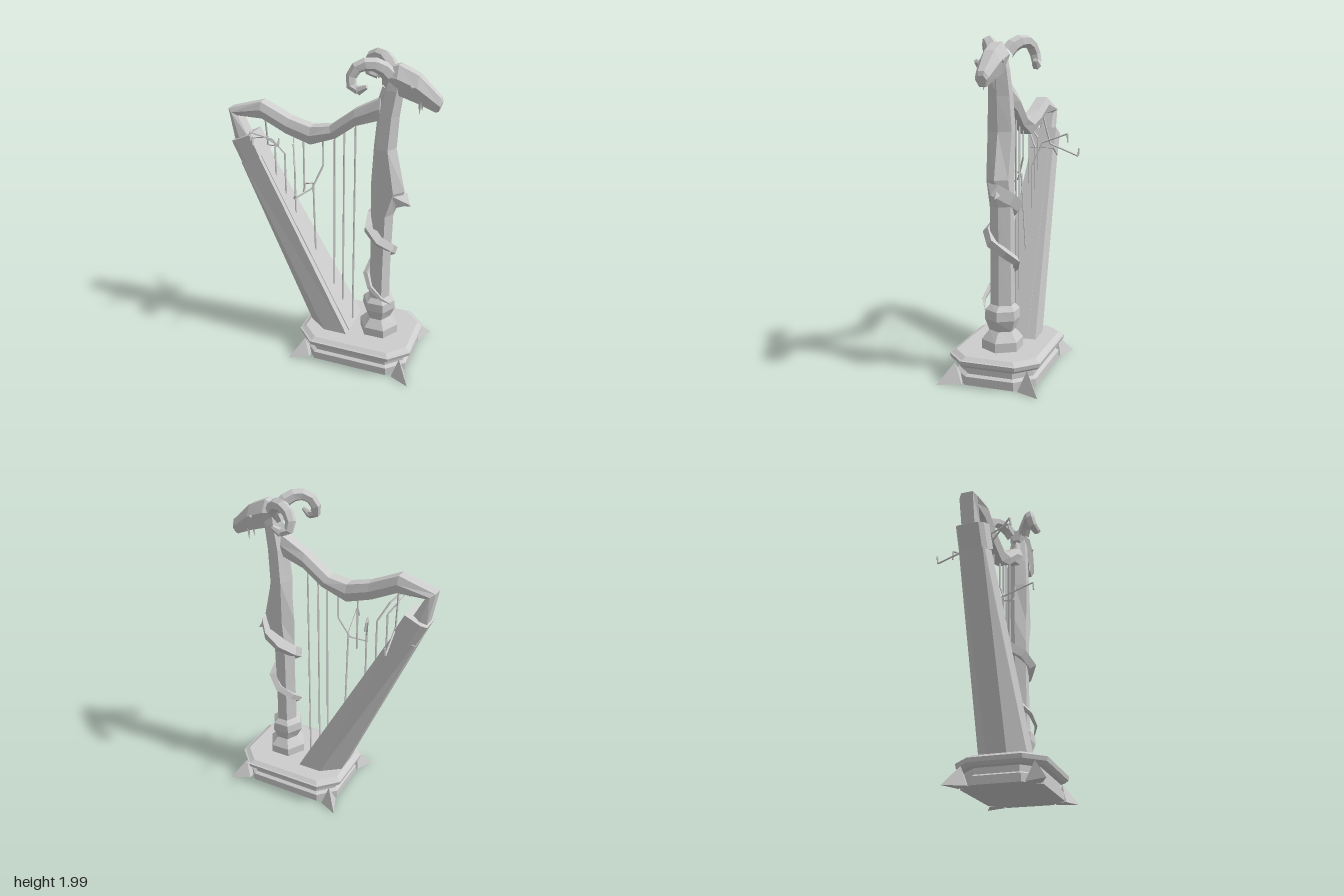
import * as THREE from 'three';
import { ConvexGeometry } from 'three/addons/geometries/ConvexGeometry.js';

const V = (x, y, z) => new THREE.Vector3(x, y, z);

export function createModel() {
  const model = new THREE.Group();
  const stone = new THREE.MeshStandardMaterial({ color: 0xcccccc, flatShading: true });
  stone.name = 'pale stone';

  function add(name, geometry, parent = model) {
    const mesh = new THREE.Mesh(geometry, stone);
    mesh.name = name;
    parent.add(mesh);
    return mesh;
  }

  function group(name) {
    const g = new THREE.Group();
    g.name = name;
    model.add(g);
    return g;
  }

  // Closed solid through convex rings of equal point count, wound outward
  function loft(rings) {
    const n = rings[0].length, pts = rings.flat(), tris = [];
    for (let r = 0; r < rings.length - 1; r++) {
      for (let i = 0; i < n; i++) {
        const a = r * n + i, b = r * n + (i + 1) % n;
        tris.push([a, b, b + n], [a, b + n, a + n]);
      }
    }
    const last = (rings.length - 1) * n;
    for (let i = 1; i < n - 1; i++) tris.push([0, i + 1, i], [last, last + i, last + i + 1]);
    let volume = 0;
    for (const [a, b, c] of tris) volume += pts[a].dot(pts[b].clone().cross(pts[c]));
    const geo = new THREE.BufferGeometry().setFromPoints(pts);
    geo.setIndex(tris.flatMap(([a, b, c]) => (volume < 0 ? [a, c, b] : [a, b, c])));
    const flat = geo.toNonIndexed();
    flat.computeVertexNormals();
    return flat;
  }

  // Ring symmetric in z, spanning a top and a bottom point in the xy plane
  function section([xt, yt, xb, yb, w], outline) {
    const side = s => outline.map(([f, k]) => V(xt + (xb - xt) * f, yt + (yb - yt) * f, s * w * k));
    return [...side(1), ...side(-1).reverse()];
  }

  // Faceted tube whose radius follows a rule along its length
  function taperTube(points, steps, sides, radius) {
    const curve = new THREE.CatmullRomCurve3(points);
    const geo = new THREE.TubeGeometry(curve, steps, 1, sides, false);
    const pos = geo.attributes.position, v = V(0, 0, 0);
    for (let i = 0; i < pos.count; i++) {
      const t = Math.floor(i / (sides + 1)) / steps, c = curve.getPointAt(t);
      v.fromBufferAttribute(pos, i).sub(c).multiplyScalar(radius(t)).add(c);
      pos.setXYZ(i, v.x, v.y, v.z);
    }
    geo.computeVertexNormals();
    return geo;
  }

  // Straight rod or spike between two points
  function rod(a, b, r0, r1, sides) {
    const d = b.clone().sub(a);
    const geo = new THREE.CylinderGeometry(r1, r0, d.length(), sides);
    geo.applyQuaternion(new THREE.Quaternion().setFromUnitVectors(V(0, 1, 0), d.normalize()));
    const m = a.clone().add(b).multiplyScalar(0.5);
    return geo.translate(m.x, m.y, m.z);
  }

  // Stepped plinth with cut corners
  const cx = 0.222;
  const layers = [[0, 0.03], [0.05, 0.03], [0.062, 0.05], [0.1, 0.05], [0.107, 0.025],
    [0.125, 0.005], [0.15, 0], [0.153, 0.01], [0.17, 0.034]];
  add('plinth', loft(layers.map(([y, inset]) => {
    const x = 0.375 - inset, z = 0.279 - inset, c = 0.115 - inset * 0.4;
    return [[x, z - c], [x - c, z], [c - x, z], [-x, z - c], [-x, c - z], [c - x, -z], [x - c, -z], [x, c - z]]
      .map(([px, pz]) => V(cx + px, y, pz));
  })));

  // Corner spikes
  const spikes = group('cornerSpikes');
  for (const sx of [-1, 1]) for (const sz of [-1, 1]) {
    const corner = [[0.4, 0, 0.305], [0.32, 0.12, 0.22], [0.345, 0, 0.17], [0.28, 0, 0.25], [0.28, 0, 0.18]];
    add('cornerSpike', new ConvexGeometry(corner.map(([x, y, z]) => V(cx + sx * x, y, sz * z))), spikes);
  }

  // Six-sided pillar: height, back edge, front edge, half depth
  const pillar = [[0.17, 0.21, 0.463, 0.108], [0.225, 0.21, 0.463, 0.108], [0.28, 0.262, 0.41, 0.07],
    [0.35, 0.225, 0.442, 0.092], [0.405, 0.23, 0.437, 0.09], [0.435, 0.265, 0.4, 0.066],
    [0.7, 0.267, 0.398, 0.062], [1.02, 0.262, 0.405, 0.064], [1.18, 0.257, 0.468, 0.066],
    [1.45, 0.27, 0.407, 0.073], [1.65, 0.288, 0.418, 0.064], [1.8, 0.32, 0.437, 0.055],
    [1.87, 0.335, 0.44, 0.045]];
  add('pillar', loft(pillar.map(([y, a, b, w]) => {
    const m = (a + b) / 2, q = (b - a) / 4;
    return [V(b, y, 0), V(m + q, y, w), V(m - q, y, w), V(a, y, 0), V(m - q, y, -w), V(m + q, y, -w)];
  })));

  // Tail coiling down the pillar, fuller where the pillar swells, its tip flicked outward
  const coil = [];
  for (let i = 0; i <= 16; i++) {
    const t = i / 16, a = THREE.MathUtils.degToRad(50 - 740 * t);
    const y = 1.17 - 0.7 * t - 0.06 * Math.pow(t, 8);
    const swell = Math.max(0, Math.cos(a)) * Math.max(0, 1 - Math.abs(y - 1.15) / 0.2) * 0.05;
    const r = 0.08 + 0.05 * Math.pow(t, 12);
    coil.push(V(0.333 + Math.cos(a) * (r + swell), y, Math.sin(a) * (r + 0.004)));
  }
  add('coiledTail', taperTube(coil, 14, 4,
    t => (t === 0 ? 0.001 : 0.045 * Math.sqrt(1 - t) + 0.012 * Math.pow(1 - t, 4) + 0.001)));
  add('tailBarb', rod(V(0.44, 1.12, -0.01), V(0.51, 1.08, -0.02), 0.045, 0, 4));

  // Curved neck of the harp, bending down into the soundbox
  const hex = [[0, 0.65], [0.45, 1], [1, 0.65]];
  add('harpNeck', loft([
    [0.31, 1.745, 0.31, 1.615, 0.05], [0.155, 1.66, 0.165, 1.565, 0.055], [0, 1.54, 0.04, 1.47, 0.055],
    [-0.12, 1.52, -0.12, 1.41, 0.055], [-0.255, 1.555, -0.28, 1.46, 0.055],
    [-0.44, 1.64, -0.435, 1.535, 0.055], [-0.66, 1.575, -0.6, 1.535, 0.056],
    [-0.622, 1.365, -0.525, 1.39, 0.058],
  ].map(s => section(s, hex))));
  add('neckFin', new ConvexGeometry([V(0.31, 1.81, 0), V(0.27, 1.66, 0.02), V(0.27, 1.66, -0.02),
    V(0.34, 1.8, 0.03), V(0.34, 1.8, -0.03), V(0.33, 1.62, 0)]));

  // Soundbox with a bevelled back, its cuff and the soundboard panel
  add('soundbox', loft([
    section([-0.575, 1.245, -0.45, 1.305, 0.078], [[0, 0.9], [0.08, 1], [1, 1]]),
    section([-0.11, 0.165, 0.165, 0.165, 0.15], [[0, 0.4], [0.44, 1], [1, 1]]),
  ]));
  add('soundboxCuff', loft([[-0.635, 1.375, -0.505, 1.435, 0.085], [-0.567, 1.232, -0.438, 1.302, 0.087]]
    .map(s => section(s, [[0, 0.75], [0.25, 1], [1, 1]]))));
  add('soundboardPanel', loft([[-0.46, 1.3, -0.446, 1.305, 0.05], [0.15, 0.165, 0.17, 0.165, 0.1]]
    .map(s => section(s, [[0, 1], [1, 1]]))));

  // Strings: three whole, the rest snapped and bent
  const strings = group('strings');
  [
    [[0.155, 1.58, 0], [0.155, 0.2, 0]],
    [[0.085, 1.52, 0], [0.085, 0.33, 0]],
    [[0.024, 1.48, 0], [0.024, 0.44, 0]],
    [[-0.05, 1.45, 0], [-0.05, 1.27, 0], [-0.105, 1.13, 0.05], [-0.19, 1.08, 0.13], [-0.18, 1.11, 0.14]],
    [[-0.105, 0.67, 0], [-0.105, 1.16, 0.03], [-0.075, 1.245, 0.225], [-0.085, 1.19, 0.23]],
    [[-0.178, 1.45, 0], [-0.178, 1.09, 0]],
    [[-0.24, 0.91, 0], [-0.24, 1.2, 0], [-0.272, 1.35, -0.06], [-0.33, 1.405, -0.21], [-0.325, 1.35, -0.215]],
    [[-0.305, 1.03, 0], [-0.305, 1.31, 0], [-0.36, 1.42, 0.06], [-0.44, 1.5, 0.19], [-0.435, 1.45, 0.195]],
    [[-0.37, 1.15, 0], [-0.37, 1.37, 0], [-0.41, 1.43, 0.06], [-0.43, 1.465, 0.18], [-0.43, 1.42, 0.185]],
    [[-0.432, 1.56, 0], [-0.447, 1.33, -0.06], [-0.467, 1.25, -0.25], [-0.465, 1.3, -0.255]],
  ].forEach(path => path.slice(1).forEach((p, i) =>
    add('string', rod(V(...path[i]), V(...p), 0.006, 0.006, 4), strings)));

  // Horned head
  const head = group('head');
  add('skull', loft([
    [0.325, 1.915, 0.312, 1.825, 0.045], [0.41, 1.945, 0.41, 1.775, 0.073],
    [0.525, 1.895, 0.52, 1.74, 0.064], [0.65, 1.78, 0.62, 1.697, 0.04], [0.657, 1.755, 0.64, 1.7, 0.032],
  ].map(s => section(s, [[0, 0.45], [0.4, 1], [1, 0.5]]))), head);
  const horn = [[0.355, 1.89, 0.04], [0.32, 1.935, 0.07], [0.262, 1.958, 0.11], [0.2, 1.935, 0.135],
    [0.173, 1.88, 0.15], [0.187, 1.832, 0.163], [0.228, 1.822, 0.172]];
  for (const s of [1, -1]) {
    add('horn', taperTube(horn.map(([x, y, z]) => V(x, y, s * z)), 7, 6, t => 0.044 - 0.018 * t), head);
    add('hornTip', rod(V(0.224, 1.821, s * 0.172), V(0.277, 1.85, s * 0.18), 0.027, 0.013, 6), head);
    add('fang', rod(V(0.54, 1.755, s * 0.025), V(0.535, 1.675, s * 0.032), 0.014, 0, 4), head);
    const eye = add('eye', new THREE.IcosahedronGeometry(0.011, 0), head);
    eye.position.set(0.495, 1.838, s * 0.066);
  }
  return model;
}
